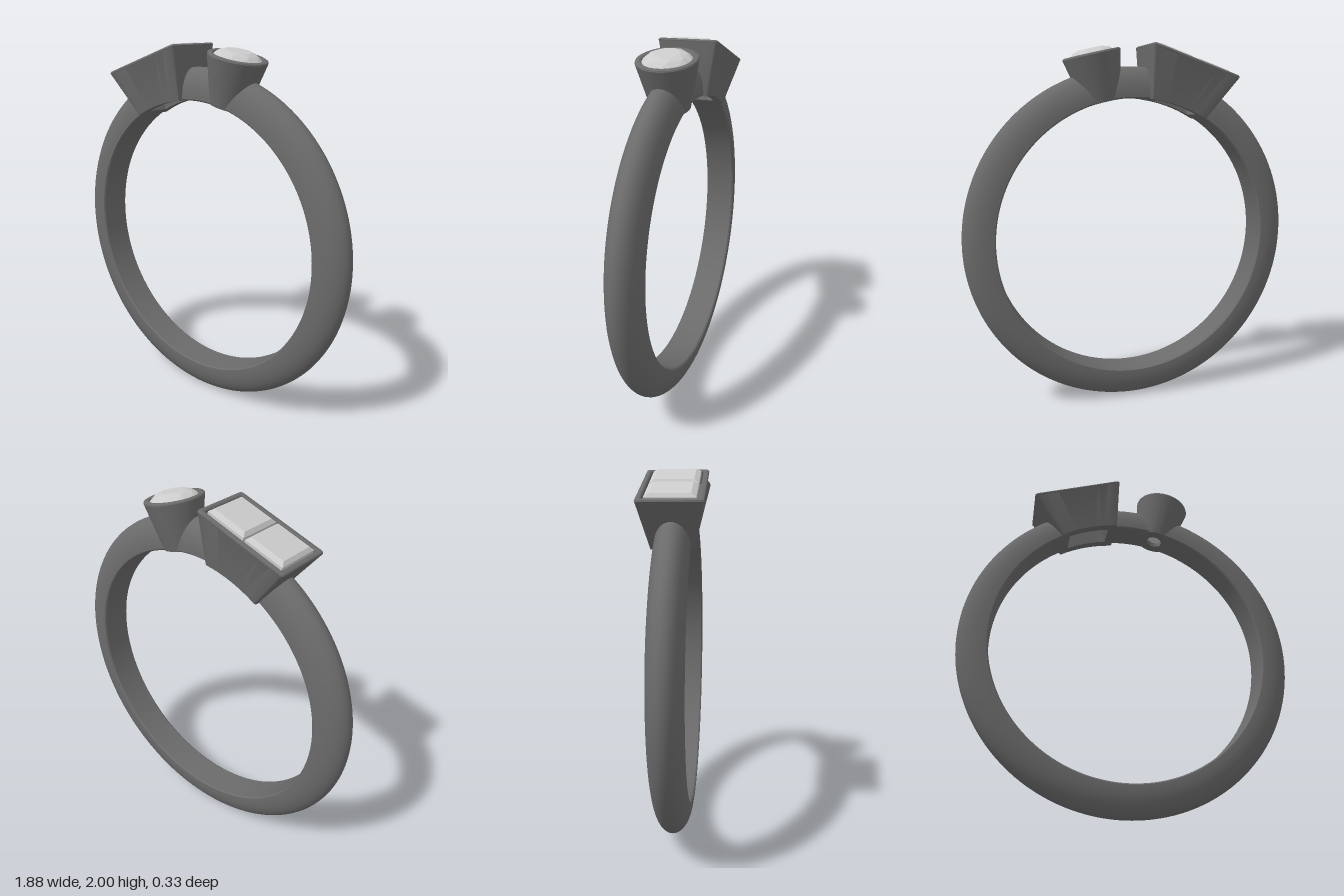
import * as THREE from 'three';
import { toCreasedNormals } from 'three/addons/utils/BufferGeometryUtils.js';
import { ConvexGeometry } from 'three/addons/geometries/ConvexGeometry.js';

const CENTRE = 0.94;      // height of the ring's axis
const BORE = 0.77;        // inner radius
const BOX_TILT = 0.326;   // lean of the rectangular setting
const CUP_TILT = -0.2205; // lean of the round setting

const metal = new THREE.MeshStandardMaterial({ color: 0x6b6b6b });
const stone = new THREE.MeshStandardMaterial({ color: 0xcccccc, flatShading: true });

function addMesh(parent, name, geometry, material) {
  const mesh = new THREE.Mesh(geometry, material);
  mesh.name = name;
  parent.add(mesh);
  return mesh;
}

// height of the bore's surface at a sideways offset
const boreY = (x) => Math.sqrt((BORE - 0.001) ** 2 - x * x);

// D-shaped band swept over part of a circle
function bandArc(start, end) {
  const pts = [[BORE, -0.082], [0.777, -0.09]];
  for (let i = 0; i <= 20; i++) {
    const a = -Math.PI / 2 + (Math.PI * i) / 20;
    pts.push([0.79 + 0.15 * Math.cos(a), 0.09 * Math.sin(a)]);
  }
  pts.push([0.777, 0.09], [BORE, 0.082], [BORE, -0.082]);
  const segments = Math.max(6, Math.ceil((end - start) * 26));
  const g = new THREE.LatheGeometry(pts.map((p) => new THREE.Vector2(...p)), segments, start, end - start);
  g.rotateX(Math.PI / 2);
  return toCreasedNormals(g, 0.6);
}

// rounded rectangle, counter-clockwise from above, long edges subdivided
function rectLoop(a, b, r, yAt) {
  const loop = [];
  const corners = [[1, -1], [-1, -1], [-1, 1], [1, 1]];
  corners.forEach(([sx, sz], c) => {
    for (let i = 0; i <= 4; i++) {
      const t = (c + i / 4) * Math.PI / 2;
      loop.push([sx * (a - r) + r * Math.cos(t), sz * (b - r) - r * Math.sin(t)]);
    }
    if (c % 2 === 0) {
      for (let i = 1; i < 8; i++) loop.push([sx * (a - r) * (1 - i / 4), sz * b]);
    }
  });
  return loop.map(([x, z]) => [x, yAt(x), z]);
}

// skin through a closed cycle of loops
function loftCycle(loops) {
  const n = loops[0].length;
  const index = [];
  loops.forEach((_, k) => {
    const lo = k * n, hi = ((k + 1) % loops.length) * n;
    for (let i = 0; i < n; i++) {
      const j = (i + 1) % n;
      index.push(lo + i, lo + j, hi + j, lo + i, hi + j, hi + i);
    }
  });
  const g = new THREE.BufferGeometry();
  g.setAttribute('position', new THREE.Float32BufferAttribute(loops.flat(2), 3));
  g.setIndex(index);
  return toCreasedNormals(g, 0.6);
}

// points of a regular ring
function circle(n, r, y, offset = 0) {
  return Array.from({ length: n }, (_, i) => {
    const t = ((i + offset) / n) * Math.PI * 2;
    return new THREE.Vector3(r * Math.cos(t), y, r * Math.sin(t));
  });
}

// corners of a rectangle
function rect(x, a, b, y) {
  return [[1, 1], [1, -1], [-1, -1], [-1, 1]].map(([s, t]) => new THREE.Vector3(x + s * a, y, t * b));
}

export function createModel() {
  const model = new THREE.Group();
  model.name = 'ring';

  // band, left open inside the two settings
  const band = new THREE.Group();
  band.name = 'band';
  band.position.y = CENTRE;
  const box = Math.PI + BOX_TILT, cup = Math.PI + CUP_TILT;
  addMesh(band, 'bandBridge', bandArc(cup + 0.058, box - 0.17), metal);
  addMesh(band, 'bandMain', bandArc(box + 0.17, cup - 0.058 + Math.PI * 2), metal);
  model.add(band);

  // rectangular setting: tapered walls, rim, seat and open base
  const boxSetting = new THREE.Group();
  boxSetting.name = 'rectangularSetting';
  boxSetting.position.y = CENTRE;
  boxSetting.rotation.z = BOX_TILT;
  const walls = [
    [0.168, 0.112, 0.012, boreY],
    [0.262, 0.161, 0.014, () => 1.012],
    [0.265, 0.164, 0.014, () => 1.02],
    [0.262, 0.161, 0.014, () => 1.027],
    [0.256, 0.155, 0.012, () => 1.03],
    [0.243, 0.142, 0.01, () => 1.03],
    [0.237, 0.136, 0.008, () => 1.025],
    [0.235, 0.134, 0.008, () => 0.96],
    [0.12, 0.065, 0.006, () => 0.95],
    [0.12, 0.065, 0.006, boreY],
  ];
  addMesh(boxSetting, 'rectangularBezel', loftCycle(walls.map((w) => rectLoop(...w))), metal);

  // two step-cut stones side by side
  for (const side of [-1, 1]) {
    const x = side * 0.117;
    const pts = [
      ...rect(x, 0.094, 0.1, 1.046),
      ...rect(x, 0.112, 0.124, 1.03),
      ...rect(x, 0.112, 0.124, 1.01),
      ...rect(side * 0.06, 0.05, 0.03, 0.89),
    ];
    addMesh(boxSetting, side < 0 ? 'rightRectangularStone' : 'leftRectangularStone', new ConvexGeometry(pts), stone);
  }
  model.add(boxSetting);

  // round setting: tapered cup with a hole through the bore
  const cupSetting = new THREE.Group();
  cupSetting.name = 'roundSetting';
  cupSetting.position.y = CENTRE;
  cupSetting.rotation.z = CUP_TILT;
  const profile = [
    [0.1, 0.76], [0.156, 1.01], [0.158, 1.02], [0.155, 1.027], [0.149, 1.03], [0.134, 1.03],
    [0.127, 1.025], [0.125, 0.96], [0.046, 0.94], [0.046, 0.76], [0.1, 0.76],
  ].map((p) => new THREE.Vector2(...p));
  const cupGeometry = new THREE.LatheGeometry(profile, 64);
  const pos = cupGeometry.attributes.position;
  for (let i = 0; i < pos.count; i++) {
    if (pos.getY(i) < BORE) pos.setY(i, boreY(pos.getX(i)));
  }
  addMesh(cupSetting, 'roundBezel', toCreasedNormals(cupGeometry, 0.6), metal);

  // round brilliant-cut stone
  const brilliant = [
    ...circle(8, 0.068, 1.056),
    ...circle(8, 0.102, 1.044, 0.5),
    ...circle(16, 0.125, 1.024),
    ...circle(16, 0.125, 1.012),
    ...circle(8, 0.043, 0.79),
  ];
  addMesh(cupSetting, 'roundStone', new ConvexGeometry(brilliant), stone);
  model.add(cupSetting);

  return model;
}
